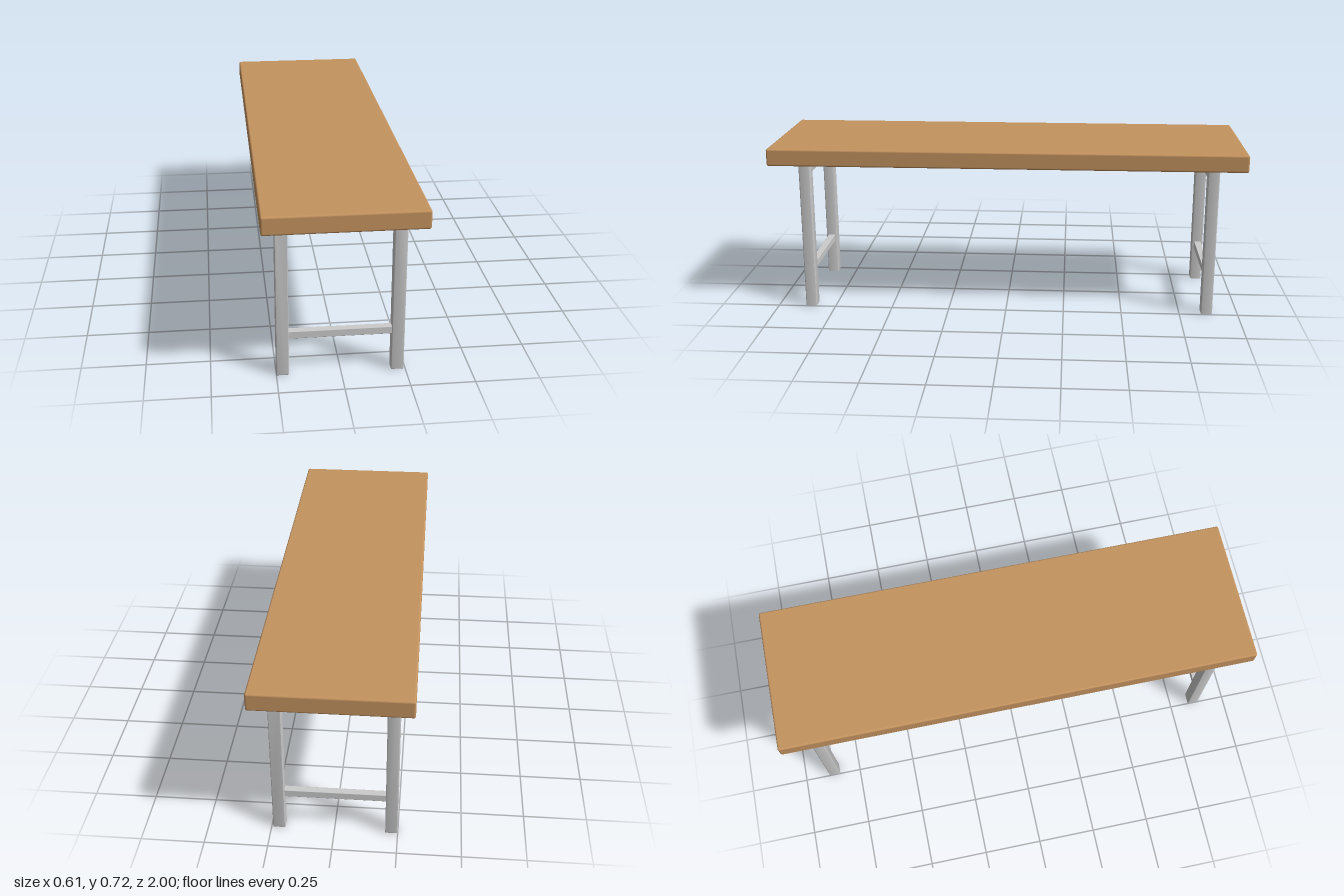
import * as THREE from 'three';
import { RoundedBoxGeometry } from 'three/addons/geometries/RoundedBoxGeometry.js';
import { toCreasedNormals } from 'three/addons/utils/BufferGeometryUtils.js';

const wood = new THREE.MeshStandardMaterial({ color: 0xc4935f });
const metal = new THREE.MeshStandardMaterial({ color: 0xcccccc });

const TOP_BOTTOM = 0.645, TOP_HEIGHT = 0.073;
const HALF_WIDTH = 0.247, TUBE = 0.049, BEVEL = 0.004;

function addMesh(parent, name, geometry, material, x, y, z) {
  const mesh = new THREE.Mesh(geometry, material);
  mesh.name = name;
  mesh.position.set(x, y, z);
  parent.add(mesh);
}

// Upside-down U of square tube: two legs and a top rail, with softened edges
function legFrameGeometry() {
  const b = BEVEL;
  const out = HALF_WIDTH - b, inn = HALF_WIDTH - TUBE + b;
  const top = TOP_BOTTOM - b, under = 0.598 + b;
  const shape = new THREE.Shape([
    [-out, b], [-inn, b], [-inn, under], [inn, under],
    [inn, b], [out, b], [out, top], [-out, top],
  ].map(([x, y]) => new THREE.Vector2(x, y)));
  const depth = TUBE - 2 * b;
  const geometry = new THREE.ExtrudeGeometry(shape, {
    depth, bevelEnabled: true, bevelThickness: b, bevelSize: b, bevelSegments: 3,
  });
  geometry.translate(0, 0, -depth / 2);
  return toCreasedNormals(geometry, 0.6);
}

export function createModel() {
  const table = new THREE.Group();
  table.name = 'table';

  // Thick wooden top with rounded edges
  addMesh(table, 'tableTop', new RoundedBoxGeometry(0.61, TOP_HEIGHT, 2, 3, 0.008), wood,
    0, TOP_BOTTOM + TOP_HEIGHT / 2, 0);

  // One leg frame with a low stretcher near each end
  const frameGeometry = legFrameGeometry();
  const stretcherGeometry = new RoundedBoxGeometry(2 * (HALF_WIDTH - TUBE) + 0.02, 0.03, 0.03, 2, 0.002);
  for (const [name, z] of [['frontLegs', 0.857], ['backLegs', -0.867]]) {
    const legs = new THREE.Group();
    legs.name = name;
    legs.position.set(-0.003, 0, z);
    addMesh(legs, 'legFrame', frameGeometry, metal, 0, 0, 0);
    addMesh(legs, 'stretcher', stretcherGeometry, metal, 0, 0.169, 0);
    table.add(legs);
  }
  return table;
}
